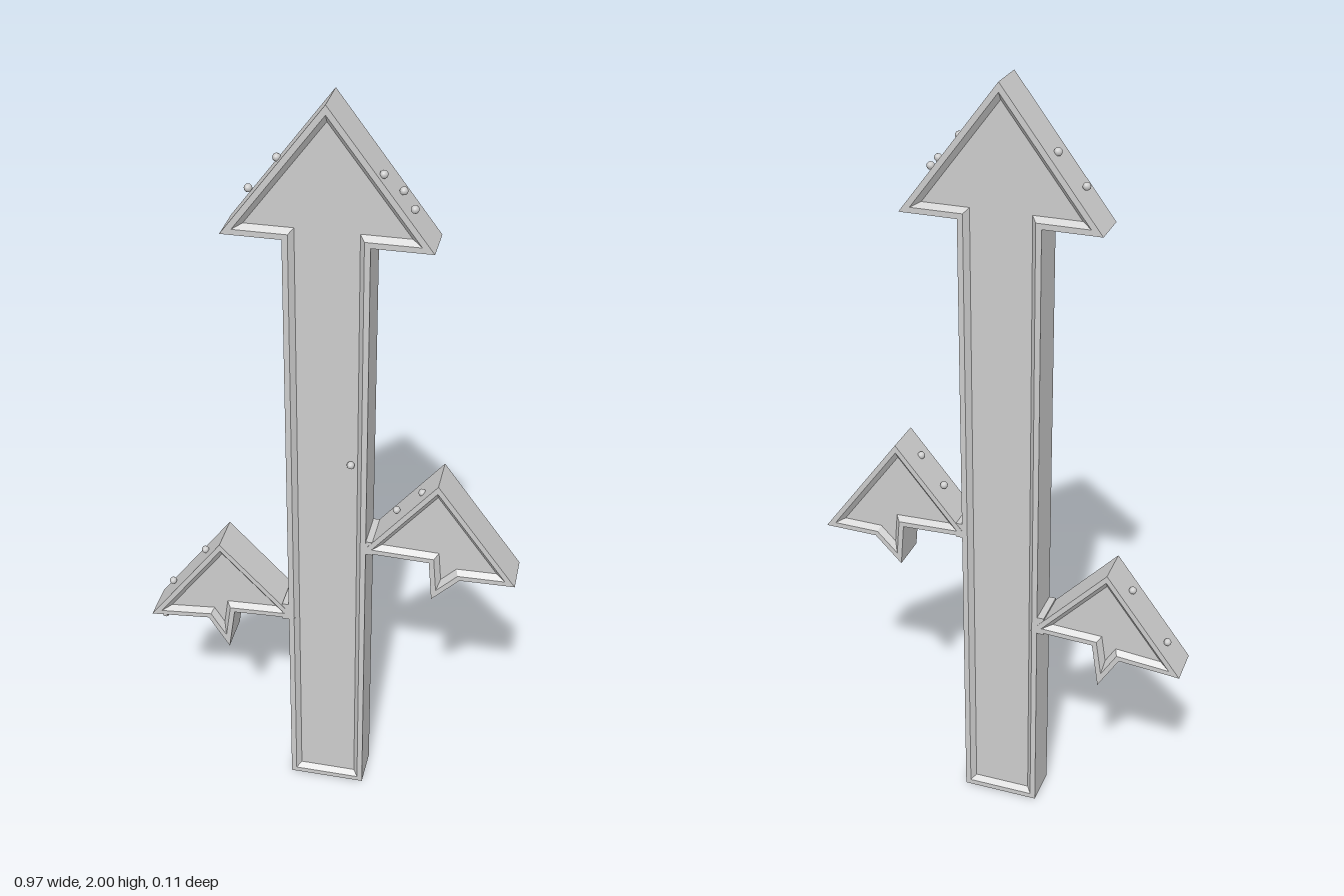
import * as THREE from 'three';

const HALF = 0.052; // half thickness
const material = new THREE.MeshStandardMaterial({ color: 0xcccccc });

// Moves every edge of a counter-clockwise outline inward by d
function inset(points, d) {
  const n = points.length;
  return points.map((p, i) => {
    const a = p.clone().sub(points[(i + n - 1) % n]).normalize();
    const b = points[(i + 1) % n].clone().sub(p).normalize();
    const k = d / (1 + a.dot(b));
    return new THREE.Vector2(p.x - (a.y + b.y) * k, p.y + (a.x + b.x) * k);
  });
}

// Plate with a raised rim sloping down to a recessed panel on both faces
function rimmedPlate(name, outline, rim, slope, recess) {
  const outer = outline.map(([x, y]) => new THREE.Vector2(x, y));
  const rimLoop = inset(outer, rim);
  const panel = inset(outer, rim + slope);
  const rings = [
    [panel, -HALF + recess], [rimLoop, -HALF], [outer, -HALF],
    [outer, HALF], [rimLoop, HALF], [panel, HALF - recess],
  ];
  const pos = [];
  const put = (p, z) => pos.push(p.x, p.y, z);
  // Bands between neighbouring loops
  for (let r = 0; r < rings.length - 1; r++) {
    const [lo, z0] = rings[r], [hi, z1] = rings[r + 1];
    for (let i = 0; i < outer.length; i++) {
      const j = (i + 1) % outer.length;
      put(lo[i], z0); put(lo[j], z0); put(hi[j], z1);
      put(lo[i], z0); put(hi[j], z1); put(hi[i], z1);
    }
  }
  // Recessed front and back panels
  for (const [a, b, c] of THREE.ShapeUtils.triangulateShape(panel, [])) {
    for (const i of [a, b, c]) put(panel[i], HALF - recess);
    for (const i of [a, c, b]) put(panel[i], -HALF + recess);
  }
  const geometry = new THREE.BufferGeometry();
  geometry.setAttribute('position', new THREE.Float32BufferAttribute(pos, 3));
  geometry.computeVertexNormals();
  const mesh = new THREE.Mesh(geometry, material);
  mesh.name = name;
  return mesh;
}

// Solid link between a side arrow and the shaft
function joint(name, x, y, width, height) {
  const mesh = new THREE.Mesh(new THREE.BoxGeometry(width, height, HALF * 1.96), material);
  mesh.position.set(x, y, 0);
  mesh.name = name;
  return mesh;
}

export function createModel() {
  const model = new THREE.Group();
  model.name = 'arrowSign';

  // Tall arrow
  model.add(rimmedPlate('mainArrow', [
    [-0.102, 0], [0.102, 0], [0.102, 1.675], [0.247, 1.675],
    [0, 2], [-0.247, 1.675], [-0.102, 1.675],
  ], 0.014, 0.012, 0.014));

  // Small arrowheads with a pointed tail, one on each side
  model.add(rimmedPlate('leftArrow', [
    [0.09, 0.82], [0.265, 0.815], [0.275, 0.7], [0.345, 0.772],
    [0.485, 0.775], [0.28, 1.052],
  ], 0.013, 0.012, 0.014));
  model.add(rimmedPlate('rightArrow', [
    [-0.485, 0.515], [-0.325, 0.53], [-0.27, 0.44], [-0.252, 0.562],
    [-0.085, 0.57], [-0.285, 0.782],
  ], 0.013, 0.012, 0.014));
  model.add(joint('leftJoint', 0.105, 0.835, 0.03, 0.04));
  model.add(joint('rightJoint', -0.105, 0.588, 0.03, 0.05));

  // Small nubs scattered over the edges
  const nubs = new THREE.Group();
  nubs.name = 'surfaceNubs';
  const nubGeometry = new THREE.IcosahedronGeometry(0.01, 1);
  for (const [x, y, z] of [
    [-0.19, 1.77, 0], [-0.125, 1.845, -0.01], [0.125, 1.845, 0.03],
    [0.165, 1.797, 0], [0.195, 1.767, 0.025], [-0.44, 0.59, -0.01],
    [-0.34, 0.72, 0], [0.17, 0.93, 0], [0.235, 1.0, 0.01],
    [0.06, 1.08, 0.045], [-0.45, 0.514, 0.04],
  ]) {
    const nub = new THREE.Mesh(nubGeometry, material);
    nub.name = 'nub';
    nub.position.set(x, y, z);
    nubs.add(nub);
  }
  model.add(nubs);
  return model;
}
